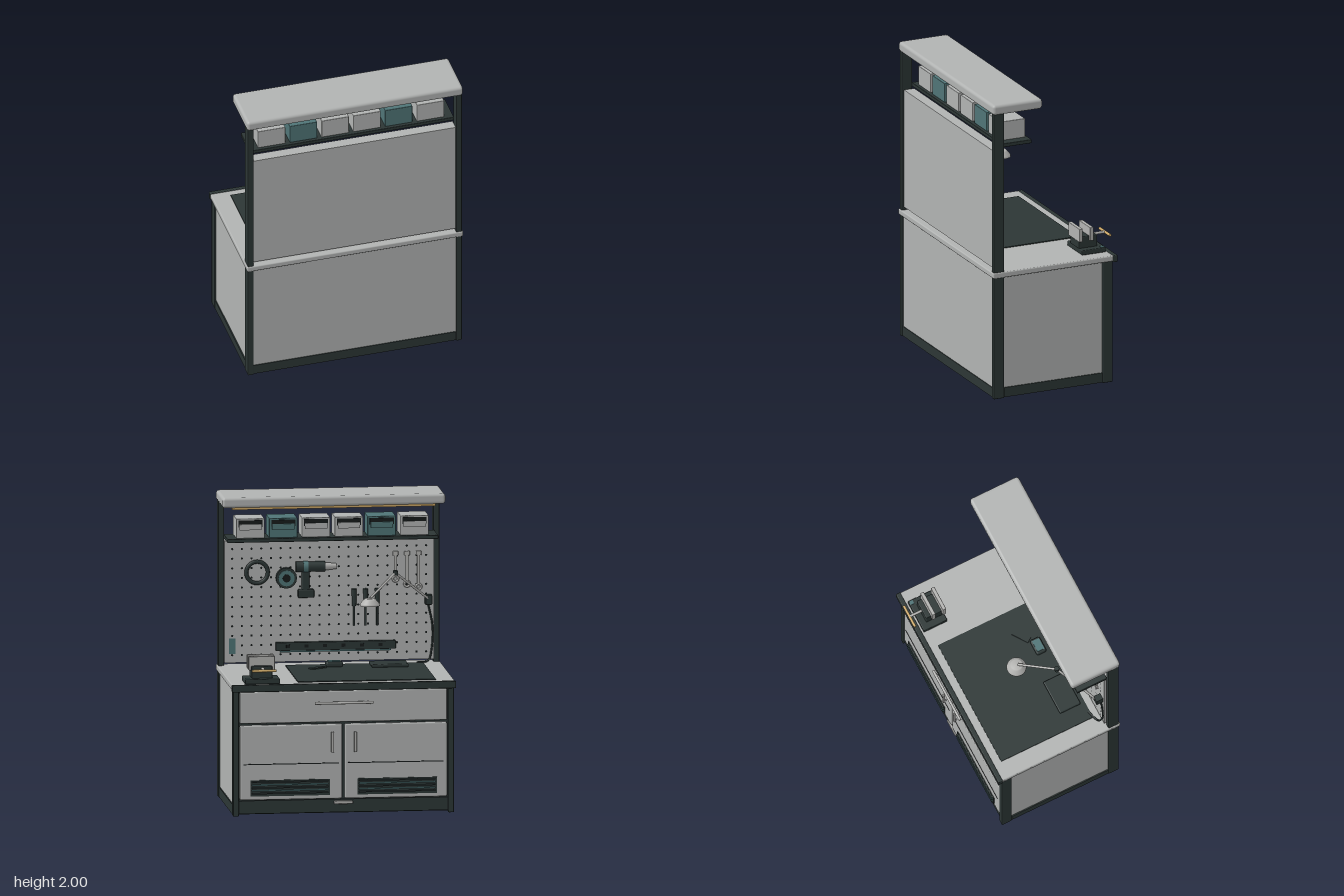
import * as THREE from 'three';
import { mergeGeometries } from 'three/addons/utils/BufferGeometryUtils.js';
import { RoundedBoxGeometry } from 'three/addons/geometries/RoundedBoxGeometry.js';

function material(name, color, side = THREE.FrontSide) {
  const m = new THREE.MeshStandardMaterial({ color, side });
  m.name = name;
  return m;
}

export function createModel() {
  const light = material('light grey', 0xb1b3b2);
  const dark = material('charcoal', 0x2c3635);
  const teal = material('teal', 0x4f7476);
  const tan = material('warm tan', 0xc9a565);
  const steel = material('steel', 0xb2b2b0, THREE.DoubleSide);
  const black = material('black', 0x161a1b, THREE.DoubleSide);

  const root = new THREE.Group();
  root.name = 'workbench';
  const group = (name) => {
    const g = new THREE.Group();
    g.name = name;
    root.add(g);
    return g;
  };
  const add = (name, geometry, mat, parent = root) => {
    const m = new THREE.Mesh(geometry, mat);
    m.name = name;
    parent.add(m);
    return m;
  };
  // Box from its limits, optionally with rounded edges
  const box = (name, mat, x0, x1, y0, y1, z0, z1, r = 0, parent = root) => {
    const s = [x1 - x0, y1 - y0, z1 - z0];
    const g = r ? new RoundedBoxGeometry(...s, 2, r) : new THREE.BoxGeometry(...s);
    const m = add(name, g, mat, parent);
    m.position.set((x0 + x1) / 2, (y0 + y1) / 2, (z0 + z1) / 2);
    return m;
  };
  // Round bar between two points
  const bar = (name, mat, a, b, r0, r1 = r0, parent = root) => {
    const p = new THREE.Vector3(...a), q = new THREE.Vector3(...b);
    const d = q.clone().sub(p);
    const m = add(name, new THREE.CylinderGeometry(r1, r0, d.length(), 16), mat, parent);
    m.position.copy(p).add(q).multiplyScalar(0.5);
    m.quaternion.setFromUnitVectors(new THREE.Vector3(0, 1, 0), d.normalize());
    return m;
  };

  // Frame
  const frame = group('frame');
  for (const s of [-1, 1]) {
    const a = s < 0 ? -0.718 : 0.68, b = a + 0.038;
    box('tallPost', dark, a, b, 0, 1.94, 0.365, 0.44, 0.006, frame);
    box('shortPost', dark, a, b, 0, 0.825, -0.407, -0.335, 0.006, frame);
    box('sideRail', dark, a + 0.003, b - 0.003, 0.005, 0.07, -0.335, 0.365, 0, frame);
  }
  box('longRail', dark, -0.68, 0.68, 0.005, 0.07, 0.40, 0.435, 0, frame);
  box('kickRail', dark, -0.68, 0.68, 0.015, 0.1, -0.395, -0.36, 0, frame);
  box('floorPlate', dark, -0.69, 0.69, 0.01, 0.07, -0.38, 0.42, 0, frame);

  // Cabinet and worktop
  box('cabinetBody', light, -0.708, 0.708, 0.07, 0.82, -0.335, 0.365);
  box('cabinetCore', dark, -0.68, 0.68, 0.07, 0.82, -0.385, -0.33);
  box('cabinetRearPanel', light, -0.68, 0.68, 0.07, 0.82, 0.36, 0.43);
  box('worktop', light, -0.725, 0.725, 0.822, 0.86, -0.41, 0.447, 0.008);
  box('worktopTrim', dark, -0.728, 0.728, 0.815, 0.862, -0.437, -0.405, 0.006);

  // Drawer
  box('drawerFront', light, -0.672, 0.672, 0.605, 0.81, -0.404, -0.37, 0.008);
  bar('drawerHandle', steel, [-0.19, 0.735, -0.44], [0.19, 0.735, -0.44], 0.009);
  for (const x of [-0.16, 0.16]) bar('handleStud', steel, [x, 0.735, -0.40], [x, 0.735, -0.44], 0.006);

  // Doors with grooves, pulls and vents
  for (const s of [-1, 1]) {
    const door = group(s < 0 ? 'rightDoor' : 'leftDoor');
    const span = (name, mat, a, b, ...rest) => box(name, mat, Math.min(s * a, s * b), Math.max(s * a, s * b), ...rest, door);
    span('doorPanel', light, 0.008, 0.672, 0.105, 0.592, -0.405, -0.37, 0.01);
    span('doorGroove', black, 0.03, 0.65, 0.335, 0.341, -0.407, -0.403, 0);
    span('doorPull', steel, 0.065, 0.083, 0.41, 0.545, -0.43, -0.418, 0.004);
    for (const y of [0.425, 0.53]) bar('pullStud', steel, [s * 0.074, y, -0.40], [s * 0.074, y, -0.42], 0.005, 0.005, door);
    span('ventPlate', dark, 0.09, 0.605, 0.13, 0.235, -0.41, -0.402, 0);
    for (let i = 0; i < 5; i++) {
      const y = 0.145 + i * 0.0185;
      span('ventFin', i % 2 ? teal : dark, 0.1, 0.595, y, y + 0.009, -0.42, -0.408, 0);
    }
  }
  box('kickPlate', steel, -0.06, 0.06, 0.07, 0.09, -0.41, -0.39, 0.004);

  // Pegboard with its hole grid
  box('pegboard', light, -0.68, 0.68, 0.88, 1.677, 0.352, 0.425);
  const holes = [];
  for (let x = -0.63; x < 0.64; x += 0.063)
    for (let y = 0.93; y < 1.65; y += 0.063)
      holes.push(new THREE.CircleGeometry(0.0075, 8).rotateY(Math.PI).translate(x, y, 0.3505));
  add('pegHoles', mergeGeometries(holes), black);

  // Canopy with lamp strip
  box('canopy', light, -0.725, 0.725, 1.932, 2, 0.095, 0.447, 0.02);
  box('canopyUnderside', teal, -0.66, 0.66, 1.927, 1.934, 0.16, 0.36);
  box('lightStrip', tan, -0.66, 0.66, 1.918, 1.934, 0.112, 0.152);

  // Shelf and storage bins
  box('shelf', dark, -0.685, 0.685, 1.695, 1.72, 0.155, 0.37, 0.004);
  for (let i = 0; i < 6; i++) {
    const x = -0.533 + i * 0.2132, mat = i === 1 || i === 4 ? teal : light;
    const bin = group('bin');
    box('binBody', mat, x - 0.092, x + 0.092, 1.72, 1.848, 0.175, 0.35, 0.004, bin);
    box('binOpening', black, x - 0.078, x + 0.078, 1.795, 1.838, 0.171, 0.177, 0, bin);
    box('binLip', mat, x - 0.072, x + 0.072, 1.775, 1.812, 0.165, 0.173, 0, bin);
  }

  // Hanging cable ring
  const ring = add('hangingRing', new THREE.TorusGeometry(0.07, 0.013, 10, 36), dark);
  ring.position.set(0.47, 1.47, 0.337);

  // Power drill
  const drill = group('drill');
  bar('drillBody', dark, [0.03, 1.502, 0.332], [0.22, 1.502, 0.332], 0.034, 0.034, drill);
  bar('drillBand', teal, [0.14, 1.502, 0.332], [0.17, 1.502, 0.332], 0.036, 0.036, drill);
  bar('drillChuck', steel, [0.035, 1.502, 0.332], [-0.045, 1.502, 0.332], 0.027, 0.018, drill);
  box('drillGrip', dark, 0.13, 0.18, 1.34, 1.49, 0.318, 0.352, 0.01, drill);
  box('drillBattery', dark, 0.1, 0.205, 1.3, 1.355, 0.315, 0.352, 0.008, drill);

  // Tape roll
  bar('tapeRoll', dark, [0.28, 1.43, 0.352], [0.28, 1.43, 0.322], 0.068);
  bar('tapeFace', teal, [0.28, 1.43, 0.33], [0.28, 1.43, 0.318], 0.052);
  bar('tapeCore', black, [0.28, 1.43, 0.33], [0.28, 1.43, 0.316], 0.026);

  // Spanners and screwdrivers
  [[-0.43, 1.41], [-0.505, 1.375], [-0.58, 1.355]].forEach(([x, y]) => {
    const spanner = group('spanner');
    box('spannerShaft', steel, x - 0.009, x + 0.009, y + 0.015, 1.57, 0.338, 0.35, 0, spanner);
    const eye = add('spannerEye', new THREE.TorusGeometry(0.018, 0.007, 8, 20), steel, spanner);
    eye.position.set(x, y, 0.344);
    box('spannerJaw', steel, x - 0.018, x + 0.018, 1.56, 1.59, 0.338, 0.35, 0.004, spanner);
  });
  [-0.16, -0.235, -0.31].forEach((x) => {
    const driver = group('screwdriver');
    bar('driverHandle', dark, [x, 1.24, 0.335], [x, 1.35, 0.335], 0.014, 0.016, driver);
    bar('driverShaft', dark, [x, 1.11, 0.335], [x, 1.25, 0.335], 0.007, 0.007, driver);
  });

  // Power rail, cable and cloth tab
  box('powerRail', dark, -0.43, 0.35, 0.955, 1.01, 0.325, 0.353, 0.004);
  for (let i = 0; i < 6; i++) {
    const x = -0.33 + i * 0.12;
    box('socket', black, x - 0.012, x + 0.012, 0.975, 0.995, 0.323, 0.327);
  }
  box('railBase', teal, -0.4, 0.32, 0.945, 0.957, 0.33, 0.353);
  box('clothTab', teal, 0.61, 0.65, 0.94, 1.04, 0.344, 0.352);
  const cable = new THREE.CatmullRomCurve3([[-0.64, 1.25, 0.345], [-0.67, 1.1, 0.345], [-0.665, 0.95, 0.345],
    [-0.64, 0.875, 0.325], [-0.56, 0.868, 0.3]].map((p) => new THREE.Vector3(...p)));
  add('cable', new THREE.TubeGeometry(cable, 32, 0.006, 8), dark);

  // Jointed lamp
  const lamp = group('lamp');
  box('lampClamp', dark, -0.665, -0.62, 1.24, 1.305, 0.305, 0.355, 0.005, lamp);
  bar('lowerArm', steel, [-0.64, 1.28, 0.315], [-0.405, 1.48, 0.15], 0.008, 0.008, lamp);
  bar('upperArm', steel, [-0.405, 1.48, 0.15], [-0.22, 1.35, -0.035], 0.008, 0.008, lamp);
  bar('elbow', dark, [-0.405, 1.465, 0.15], [-0.405, 1.495, 0.15], 0.016, 0.016, lamp);
  const shadeProfile = [[0, 1.348], [0.036, 1.346], [0.042, 1.338], [0.062, 1.315], [0.065, 1.302], [0.058, 1.302]];
  const shade = add('lampShade', new THREE.LatheGeometry(shadeProfile.map((p) => new THREE.Vector2(...p)), 28), steel, lamp);
  shade.position.set(-0.215, 0, -0.045);
  bar('lampBulb', tan, [-0.215, 1.304, -0.045], [-0.215, 1.312, -0.045], 0.056, 0.056, lamp);

  // Mat and items lying on it
  box('workMat', dark, -0.605, 0.29, 0.858, 0.866, -0.355, 0.31);
  box('notebook', dark, -0.49, -0.25, 0.866, 0.888, 0.13, 0.28, 0.008);
  box('tapeMeasure', dark, -0.07, 0.04, 0.866, 0.9, 0.18, 0.25, 0.012);
  box('tapeMeasureTop', teal, -0.055, 0.025, 0.898, 0.904, 0.19, 0.24);
  const square = box('squareBlade', dark, 0.04, 0.16, 0.866, 0.874, 0.13, 0.17);
  square.rotation.y = 0.6;

  // Bench vise
  const vise = group('vise');
  box('viseBase', dark, 0.41, 0.638, 0.86, 0.893, -0.395, -0.225, 0.006, vise);
  box('viseBody', dark, 0.455, 0.59, 0.89, 0.97, -0.355, -0.225, 0.006, vise);
  for (const z of [-0.322, -0.245])
    box('viseJaw', steel, 0.435, 0.607, 0.94, 1.03, z, z + 0.025, 0.004, vise);
  bar('viseScrew', steel, [0.52, 0.955, -0.33], [0.52, 0.955, -0.445], 0.009, 0.009, vise);
  bar('viseHandle', tan, [0.44, 0.955, -0.443], [0.6, 0.955, -0.443], 0.009, 0.009, vise);
  box('viseCorner', teal, 0.605, 0.632, 0.892, 0.896, -0.39, -0.365, 0, vise);

  return root;
}
